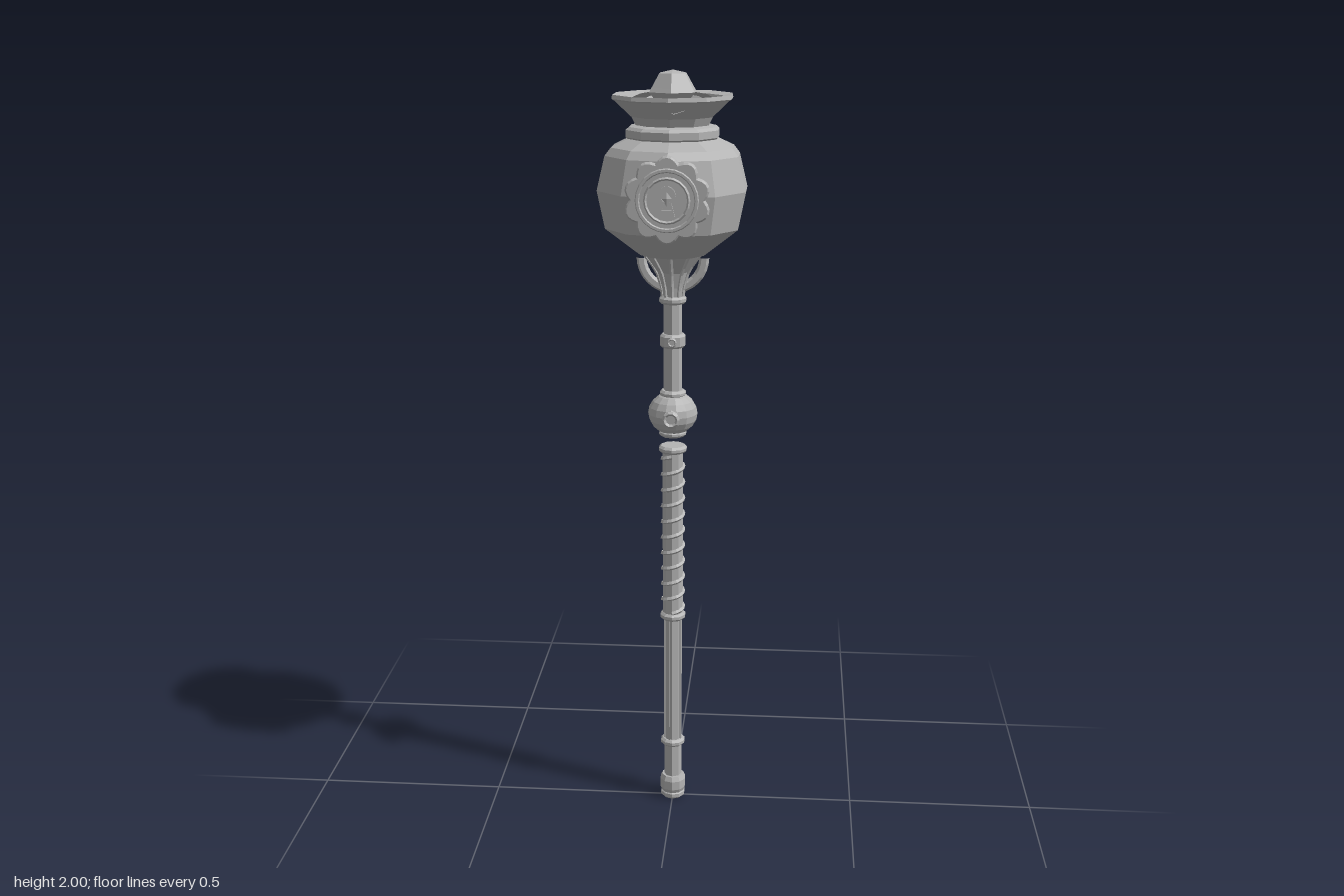
import * as THREE from 'three';

const grey = new THREE.MeshStandardMaterial({ color: 0xb4b4b4 });
grey.name = 'plain grey';
const greyThin = grey.clone();
greyThin.side = THREE.DoubleSide;

// Facet a geometry: every face gets its own flat normal
function facet(geo) {
  const g = geo.index ? geo.toNonIndexed() : geo;
  g.computeVertexNormals();
  return g;
}

export function createModel() {
  const model = new THREE.Group();
  model.name = 'sceptre';

  const add = (name, geo, x = 0, y = 0, z = 0, parent = model, mat = grey) => {
    const mesh = new THREE.Mesh(facet(geo), mat);
    mesh.name = name;
    mesh.position.set(x, y, z);
    parent.add(mesh);
    return mesh;
  };
  const lathe = (name, pts, sides) =>
    add(name, new THREE.LatheGeometry(pts.map(([r, y]) => new THREE.Vector2(r, y)), sides));
  // Closed band with bevelled edges
  const ring = (name, y0, y1, r, sides = 10) => {
    const b = Math.min(0.006, (y1 - y0) / 3);
    return lathe(name, [[0, y0], [r - b, y0], [r, y0 + b], [r, y1 - b], [r - b, y1], [0, y1]], sides);
  };

  // Lower staff
  ring('endCap', 0, 0.022, 0.034);
  lathe('pommel', [[0, 0.018], [0.031, 0.018], [0.036, 0.03], [0.036, 0.055], [0.03, 0.068], [0, 0.068]], 10);
  ring('lowerShaft', 0.06, 0.56, 0.024, 8);
  for (let i = 0; i < 8; i++) {
    const a = (i + 0.5) * Math.PI / 4;
    add('shaftRib', new THREE.BoxGeometry(0.006, 0.37, 0.006), Math.sin(a) * 0.022, 0.365, Math.cos(a) * 0.022)
      .rotation.y = a;
  }
  ring('lowerBand', 0.162, 0.182, 0.034);

  // Wrapped grip
  ring('gripBottomBand', 0.542, 0.562, 0.035);
  ring('grip', 0.555, 1.025, 0.028);
  const turns = 10, helix = [];
  for (let i = 0; i <= turns * 10; i++) {
    const a = i / 10 * Math.PI * 2;
    helix.push(new THREE.Vector3(Math.sin(a) * 0.028, 0.565 + 0.445 * i / (turns * 10), Math.cos(a) * 0.028));
  }
  add('gripWrap', new THREE.TubeGeometry(new THREE.CatmullRomCurve3(helix), 150, 0.006, 4));
  ring('gripTopBand', 1.018, 1.037, 0.038);

  // Ball joint and its front stud, floating just above the grip
  ring('ballLowerBand', 1.063, 1.08, 0.037);
  add('ball', new THREE.SphereGeometry(0.065, 14, 10), 0, 1.125, 0).scale.y = 0.88;
  ring('ballUpperBand', 1.17, 1.188, 0.035);
  const stud = (y, z, r) => {
    add('stud', new THREE.CylinderGeometry(r, r, 0.03, 8), 0, y, z - 0.019).rotation.x = Math.PI / 2;
    add('studRim', new THREE.TorusGeometry(r * 0.8, r * 0.25, 4, 10), 0, y, z - 0.004);
  };
  stud(1.125, 0.077, 0.022);

  // Upper staff
  ring('upperShaft', 1.18, 1.45, 0.024, 8);
  ring('middleBand', 1.302, 1.338, 0.034);
  stud(1.32, 0.038, 0.012);
  ring('neckBand', 1.417, 1.437, 0.036);

  // Fluted flare holding the urn, with leaf ribs
  const flare = [[0.026, 1.43], [0.03, 1.46], [0.042, 1.5], [0.078, 1.552]];
  lathe('flare', flare, 10);
  for (let i = 0; i < 10; i++) {
    const a = i * Math.PI / 5;
    const path = new THREE.CatmullRomCurve3(
      flare.map(([r, y]) => new THREE.Vector3(Math.sin(a) * r, y, Math.cos(a) * r)));
    add('flareRib', new THREE.TubeGeometry(path, 6, 0.005, 4));
  }
  add('cradleRing', new THREE.TorusGeometry(0.08, 0.013, 6, 16, Math.PI), 0, 1.535, 0).rotation.z = Math.PI;

  // Ten-sided urn with collar, flared rim and hollow bowl
  lathe('urn', [
    [0, 1.545], [0.085, 1.545], [0.175, 1.615], [0.195, 1.71], [0.174, 1.795], [0.158, 1.815], [0.115, 1.835],
    [0.12, 1.839], [0.12, 1.857], [0.112, 1.864], [0.095, 1.868], [0.105, 1.888], [0.148, 1.928],
    [0.155, 1.932], [0.153, 1.942], [0.128, 1.936], [0.098, 1.875], [0.075, 1.862], [0, 1.862],
  ], 10);

  // Six-sided crystal
  lathe('crystal', [[0, 1.86], [0.035, 1.87], [0.05, 1.93], [0.065, 1.947], [0.058, 1.958],
    [0.037, 1.992], [0, 2]], 6);

  // Three curved petals around the crystal: cross-sections [radius, y, half width, side shift]
  const sections = [[0.045, 1.935, 0.03, 0], [0.07, 1.93, 0.045, -0.004],
    [0.1, 1.917, 0.04, 0.006], [0.122, 1.91, 0.025, 0.012]];
  for (let k = 0; k < 3; k++) {
    const g = new THREE.PlaneGeometry(1, 1, 2, sections.length - 1);
    const p = g.attributes.position;
    sections.forEach(([r, y, w, s], i) => {
      for (let j = 0; j < 3; j++) {
        p.setXYZ(i * 3 + j, s + (j - 1) * w, y + (j === 1 ? -0.008 : 0) + (k ? 0.012 : 0), r);
      }
    });
    add('petal', g, 0, 0, 0, model, greyThin).rotation.y = k * Math.PI * 2 / 3;
  }

  // Scalloped medallion on the front
  const medallion = new THREE.Group();
  medallion.name = 'medallion';
  medallion.position.set(0, 1.705, 0);
  model.add(medallion);
  const extrude = (name, shape, z, depth, bevel) => add(name, new THREE.ExtrudeGeometry(shape, {
    depth: depth - 2 * bevel, bevelEnabled: bevel > 0, bevelSize: bevel, bevelOffset: -bevel,
    bevelThickness: bevel, bevelSegments: 1, curveSegments: 12,
  }), 0, 0, z + bevel, medallion);
  const scallop = new THREE.Shape();
  for (let i = 0; i < 60; i++) {
    const a = i / 60 * Math.PI * 2;
    const r = 0.091 + 0.015 * Math.abs(Math.sin(a * 5));
    scallop[i ? 'lineTo' : 'moveTo'](Math.cos(a) * r, Math.sin(a) * r);
  }
  scallop.closePath();
  extrude('medallionPlate', scallop, 0.168, 0.023, 0.004);
  add('medallionRing', new THREE.TorusGeometry(0.072, 0.006, 6, 24), 0, 0, 0.19, medallion);
  add('medallionInnerRing', new THREE.TorusGeometry(0.053, 0.004, 4, 20), 0, 0, 0.192, medallion);

  // Raised keyhole surround
  const keyhole = (s, target) => {
    const a = 1.1;
    target.moveTo(-0.02 * s, -0.038 * s);
    target.lineTo(0.02 * s, -0.038 * s);
    target.lineTo(0.011 * s, -0.004 * s);
    target.absarc(0, 0.014 * s, 0.021 * s, -a, Math.PI + a, false);
    target.lineTo(-0.011 * s, -0.004 * s);
    target.closePath();
    return target;
  };
  const surround = keyhole(1, new THREE.Shape());
  surround.holes.push(keyhole(0.6, new THREE.Path()));
  extrude('keyholeSurround', surround, 0.185, 0.012, 0);

  return model;
}
